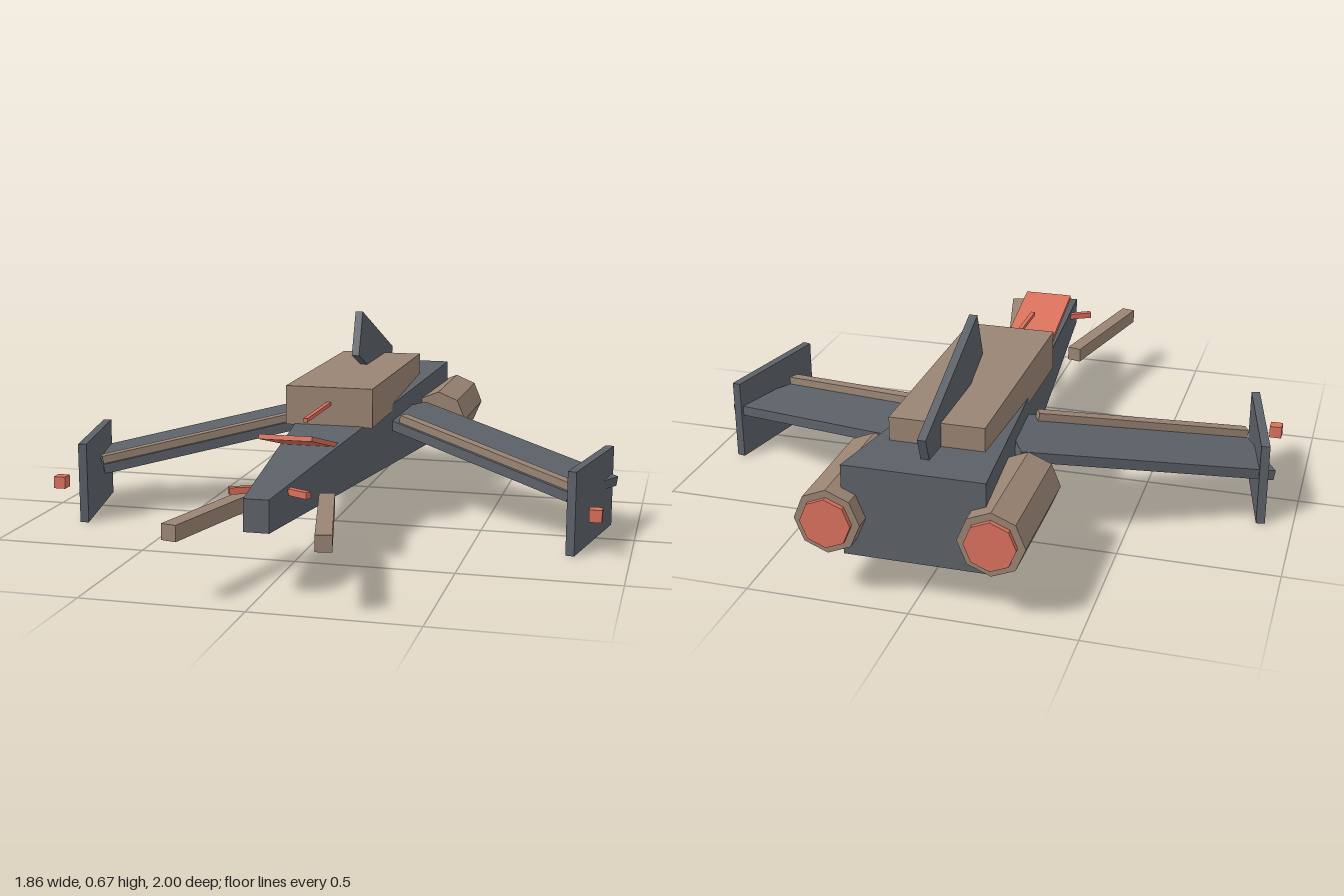
import * as THREE from 'three';

const paint = (name, color) => {
  const m = new THREE.MeshStandardMaterial({ color });
  m.name = name;
  return m;
};

export function createModel() {
  const slate = paint('slate', 0x5c6168);
  const tan = paint('tan', 0x998473);
  const coral = paint('coral', 0xd9705c);
  const model = new THREE.Group();
  model.name = 'starfighter';

  const add = (name, geometry, material, pos, rot = [0, 0, 0], parent = model) => {
    const mesh = new THREE.Mesh(geometry, material);
    mesh.name = name;
    mesh.position.set(...pos);
    mesh.rotation.set(...rot);
    parent.add(mesh);
    return mesh;
  };
  const box = (name, size, material, pos, rot, parent) =>
    add(name, new THREE.BoxGeometry(...size), material, pos, rot, parent);

  // Fuselage: a box tapered to a narrow nose
  const hull = new THREE.BoxGeometry(1, 1, 1).toNonIndexed();
  const p = hull.attributes.position;
  for (let i = 0; i < p.count; i++) {
    const front = p.getZ(i) > 0, top = p.getY(i) > 0;
    const halfWidth = front ? 0.038 : 0.215;
    const y = front ? (top ? 0.295 : 0.198) : (top ? 0.415 : 0.13);
    p.setXYZ(i, Math.sign(p.getX(i)) * halfWidth, y, front ? 0.89 : -0.935);
  }
  hull.computeVertexNormals();
  add('fuselage', hull, slate, [0, 0, 0]);

  // Spine, tail fin, canopy plate and probe on the centre line
  box('spine', [0.294, 0.13, 0.795], tan, [0, 0.41, -0.318]);
  box('tailFin', [0.026, 0.16, 0.541], slate, [0, 0.5025, -0.57], [-0.369, 0, 0]);
  box('canopyPlate', [0.165, 0.015, 0.317], coral, [0, 0.37, 0.442], [-0.26, 0, 0]);
  box('probe', [0.014, 0.012, 0.3], coral, [0, 0.42, 0.22]);

  // Paired parts
  for (const s of [1, -1]) {
    const side = s > 0 ? 'left' : 'right';

    // Engine pod with glowing exhaust
    const pod = (name, r, len, mat, z) => add(side + name,
      new THREE.CylinderGeometry(r, r, len, 8).rotateX(Math.PI / 2).toNonIndexed(), mat, [s * 0.243, 0.255, z])
      .geometry.computeVertexNormals();
    pod('Engine', 0.1, 0.395, tan, -0.7875);
    pod('Exhaust', 0.077, 0.03, coral, -0.985);

    // Forward-swept wing with a rail along its leading edge
    const wing = new THREE.Group();
    wing.name = side + 'Wing';
    wing.position.set(s * 0.497, 0.235, -0.215);
    wing.rotation.set(0, -s * 0.488, -s * 0.18);
    model.add(wing);
    box('wingPanel', [0.835, 0.033, 0.297], slate, [0, 0, 0], [0, 0, 0], wing);
    box('wingRail', [0.72, 0.026, 0.036], tan, [s * 0.055, 0.0295, 0.118], [0, 0, 0], wing);

    // Wingtip plate and the marker light ahead of it
    box(side + 'Winglet', [0.028, 0.27, 0.425], slate, [s * 0.857, 0.137, 0.022], [0, -s * 0.2, 0]);
    box(side + 'MarkerLight', [0.04, 0.04, 0.04], coral, [s * 0.892, 0.14, 0.232]);

    // Nose prong and small canard
    box(side + 'Prong', [0.048, 0.048, 0.47], tan, [s * 0.168, 0.211, 0.765], [0, s * 0.235, 0]);
    box(side + 'Canard', [0.09, 0.02, 0.02], coral, [s * 0.08, 0.284, 0.748], [0, -s * 0.5, 0]);
  }
  return model;
}
